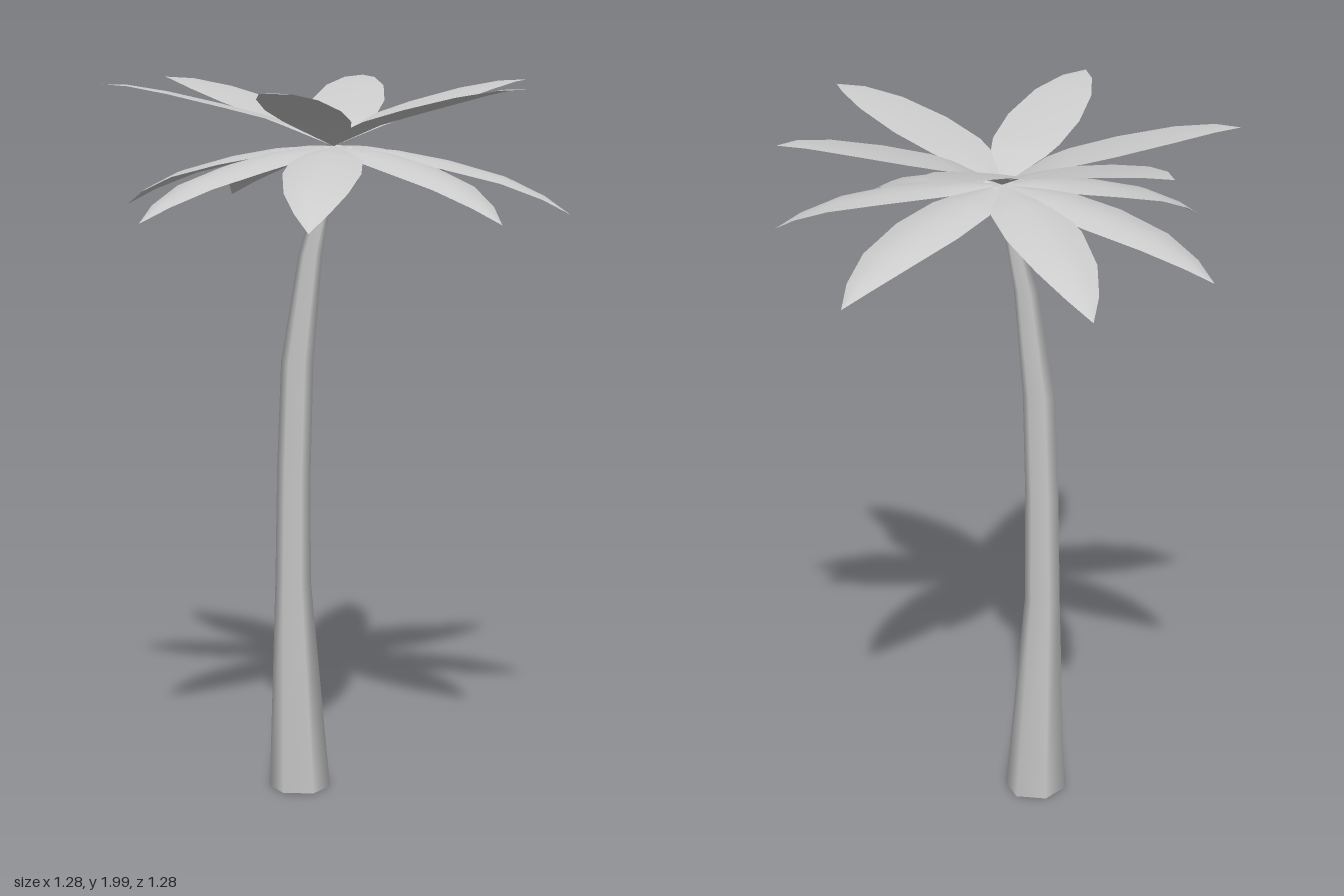
import * as THREE from 'three';

const bark = new THREE.MeshStandardMaterial({ color: 0xcccccc });
const leaf = new THREE.MeshStandardMaterial({ color: 0xcccccc, side: THREE.DoubleSide });

// Piecewise-linear lookup in [position, value] pairs
function sample(pairs, t) {
  for (let i = 1; i < pairs.length; i++) {
    const [a, va] = pairs[i - 1], [b, vb] = pairs[i];
    if (t <= b) return va + (vb - va) * (t - a) / (b - a);
  }
  return pairs[pairs.length - 1][1];
}

// Six-sided trunk bent through [y, centre x, radius] sections
function makeTrunk() {
  const sections = [
    [0, -0.105, 0.086], [0.6, -0.123, 0.05], [0.92, -0.12, 0.047],
    [1.22, -0.11, 0.045], [1.52, -0.073, 0.033], [1.65, -0.043, 0.024], [1.81, -0.012, 0.02],
  ];
  const last = sections.length - 1;
  const geo = new THREE.CylinderGeometry(1, 1, 1, 6, last, false, Math.PI / 2);
  const p = geo.attributes.position;
  for (let i = 0; i < p.count; i++) {
    const [y, cx, r] = sections[Math.round((p.getY(i) + 0.5) * last)];
    p.setXYZ(i, cx + p.getX(i) * r, y, p.getZ(i) * r);
  }
  const mesh = new THREE.Mesh(geo, bark);
  mesh.name = 'trunk';
  return mesh;
}

// Half width along a frond, as fractions of its length
const halfWidth = [[0, 0], [0.18, 0.08], [0.27, 0.097], [0.48, 0.105], [0.72, 0.084], [0.89, 0.044], [1, 0]];

// Frond blade running from the crown to a tip, following a height profile
function makeFrond(name, tipX, tipZ, heights, arch) {
  const cx = -0.01, cz = -0.015;
  const dx = tipX - cx, dz = tipZ - cz, len = Math.hypot(dx, dz);
  const pos = [], index = [], cols = 4;
  halfWidth.forEach(([t, w], row) => {
    for (let c = 0; c <= cols; c++) {
      const s = c / cols * 2 - 1;
      const y = sample(heights, t) - arch * (w / 0.105) * s * s;
      pos.push(cx + dx * t - dz / len * w * s, y, cz + dz * t + dx / len * w * s);
      if (row && c) {
        const d = row * (cols + 1) + c, b = d - cols - 1;
        index.push(b - 1, b, d, b - 1, d, d - 1);
      }
    }
  });
  // Wind the triangles so the upper side is the front
  for (let i = 0; i < index.length; i += 3) [index[i + 1], index[i + 2]] = [index[i + 2], index[i + 1]];
  const geo = new THREE.BufferGeometry();
  geo.setAttribute('position', new THREE.Float32BufferAttribute(pos, 3));
  geo.setIndex(index);
  geo.computeVertexNormals();
  const mesh = new THREE.Mesh(geo, leaf);
  mesh.name = name;
  return mesh;
}

export function createModel() {
  const palm = new THREE.Group();
  palm.name = 'palmTree';
  palm.add(makeTrunk());

  // Raised fronds
  const rising = [[0, 1.82], [0.18, 1.88], [0.27, 1.9], [0.48, 1.935], [0.72, 1.97], [0.89, 1.988], [1, 1.99]];
  const upperTips = [[0.05, -0.64], [0.53, -0.33], [0.515, 0.32], [-0.15, 0.595], [-0.64, 0.045], [-0.52, -0.475]];
  const upper = new THREE.Group();
  upper.name = 'upperFronds';
  upperTips.forEach(([x, z]) => upper.add(makeFrond('upperFrond', x, z, rising, 0.004)));

  // Drooping fronds
  const drooping = [[0, 1.82], [0.18, 1.815], [0.27, 1.81], [0.48, 1.785], [0.72, 1.742], [0.89, 1.69], [1, 1.64]];
  const lowerTips = [[0.31, -0.585], [0.64, 0.06], [0.45, 0.385], [-0.045, 0.64], [-0.505, 0.385], [-0.605, -0.22], [-0.335, -0.58]];
  const lower = new THREE.Group();
  lower.name = 'lowerFronds';
  lowerTips.forEach(([x, z]) => lower.add(makeFrond('lowerFrond', x, z, drooping, 0.018)));

  // Nuts clustered under the crown
  const nuts = new THREE.Group();
  nuts.name = 'nuts';
  for (let i = 0; i < 3; i++) {
    const a = i / 3 * Math.PI * 2 + 0.5;
    const nut = new THREE.Mesh(new THREE.SphereGeometry(0.025, 12, 8), bark);
    nut.name = 'nut';
    nut.position.set(0.005 + Math.cos(a) * 0.036, 1.797, Math.sin(a) * 0.036);
    nuts.add(nut);
  }
  palm.add(upper, lower, nuts);
  return palm;
}
